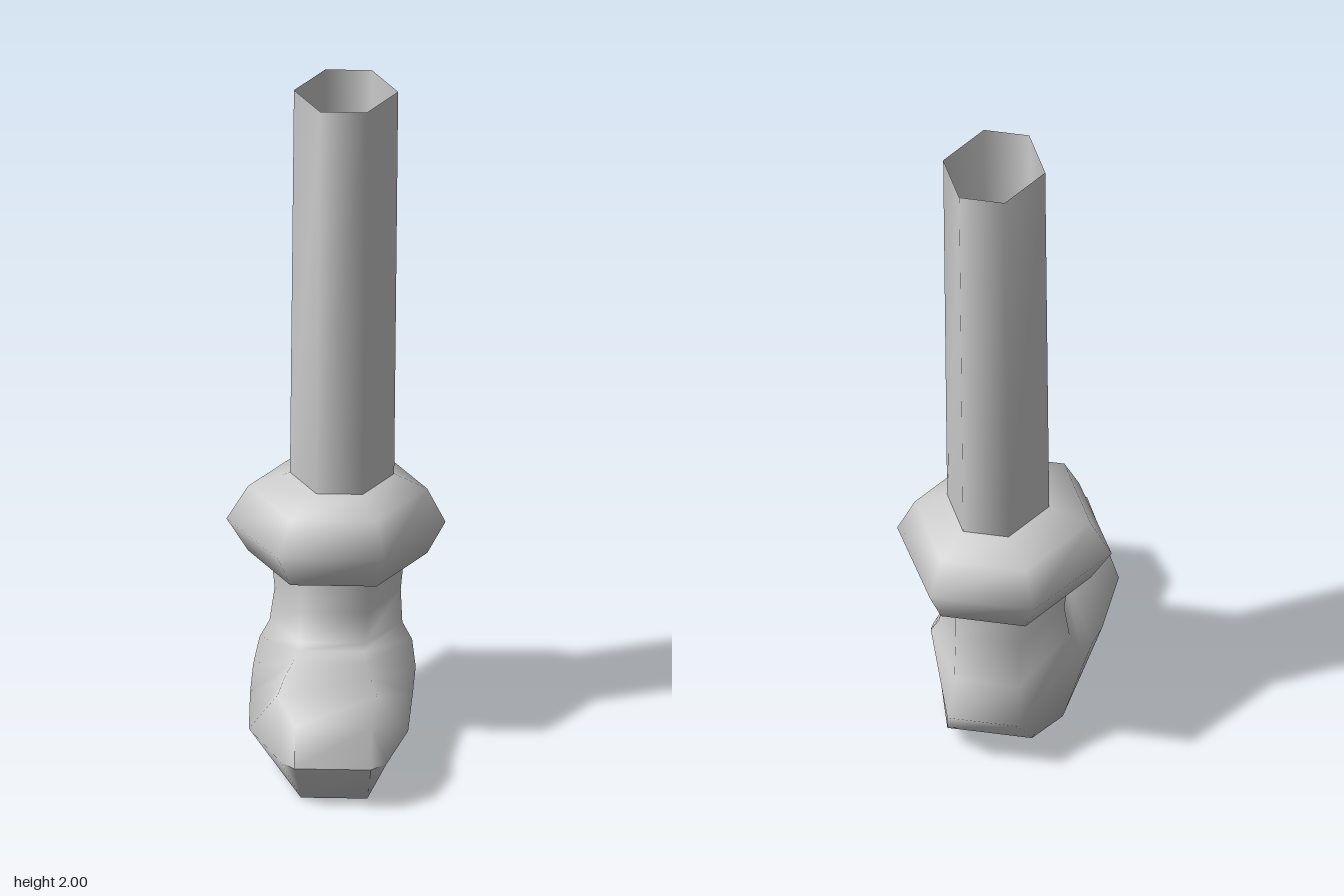
import * as THREE from 'three';

// Six-sided ring tilted between a front and a back point.
// front/back: [z, y]; w: half width at the sides; cf/cb: half widths of the front and back edges
function ring(front, back, w, cf, cb = cf, cx = 0.02) {
  const [fz, fy] = front, [bz, by] = back;
  const mz = (fz + bz) / 2, my = (fy + by) / 2;
  return [
    [cx + cf, fy, fz], [cx + w, my, mz], [cx + cb, by, bz],
    [cx - cb, by, bz], [cx - w, my, mz], [cx - cf, fy, fz],
  ];
}

const level = (y, fz, bz, w, c, cx) => ring([fz, y], [bz, y], w, c, c, cx);

// Smooth skin through a list of rings, listed from the top down
function loft(name, rings, material) {
  const n = 6, index = [];
  for (let i = 0; i < rings.length - 1; i++) {
    for (let j = 0; j < n; j++) {
      const a = i * n + j, b = i * n + (j + 1) % n, c = a + n, d = b + n;
      index.push(a, c, b, b, c, d);
    }
  }
  const geometry = new THREE.BufferGeometry();
  geometry.setAttribute('position', new THREE.Float32BufferAttribute(rings.flat(2), 3));
  geometry.setIndex(index);
  geometry.computeVertexNormals();
  const mesh = new THREE.Mesh(geometry, material);
  mesh.name = name;
  return mesh;
}

export function createModel() {
  const grey = new THREE.MeshStandardMaterial({ color: 0xcccccc, side: THREE.DoubleSide });
  grey.name = 'grey';
  const group = new THREE.Group();
  group.name = 'bootedLeg';

  // Open leg tube, leaning very slightly
  group.add(loft('leg', [
    level(2, -0.07, -0.43, 0.157, 0.07, 0.03),
    level(0.77, -0.07, -0.43, 0.157, 0.07, 0.018),
  ], grey));

  // Puffy cuff around the ankle
  group.add(loft('cuff', [
    level(0.77, -0.07, -0.43, 0.157, 0.07, 0.018),
    level(0.725, 0.04, -0.53, 0.27, 0.13, 0.005),
    level(0.62, 0.093, -0.58, 0.33, 0.16, 0),
    level(0.52, 0.05, -0.53, 0.27, 0.13, 0.005),
    level(0.505, -0.03, -0.46, 0.2, 0.1, 0.005),
  ], grey));

  // Boot: ankle bends round the heel and runs out to the toe
  group.add(loft('boot', [
    level(0.505, -0.03, -0.46, 0.2, 0.1, 0.005),
    level(0.4, -0.03, -0.46, 0.19, 0.1, 0.005),
    ring([0.02, 0.325], [-0.5, 0.27], 0.2, 0.1, 0.1, 0),
    ring([0.1, 0.328], [-0.555, 0.165], 0.23, 0.1, 0.11, 0),
    ring([0.2, 0.33], [-0.46, 0.06], 0.245, 0.11, 0.13, 0),
    ring([0.28, 0.31], [-0.26, 0.01], 0.245, 0.13, 0.18, -0.003),
    ring([0.38, 0.29], [0.2, 0.005], 0.24, 0.15, 0.16, 0),
    ring([0.54, 0.25], [0.48, 0], 0.16, 0.115, 0.1, 0.025),
    ring([0.58, 0.13], [0.58, 0.13], 0.115, 0.115, 0.115, 0.025),
  ], grey));

  return group;
}
